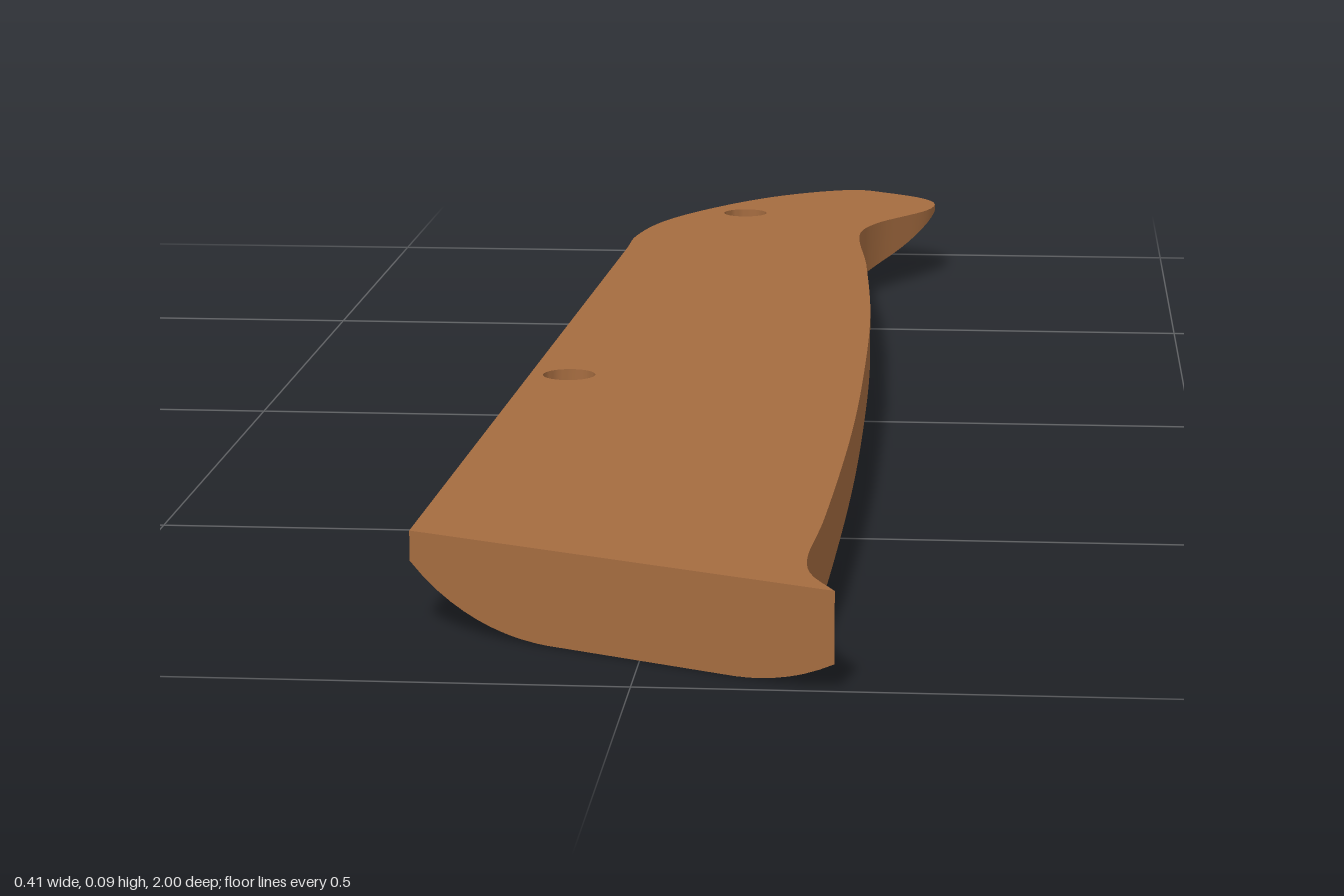
import * as THREE from 'three';
import { toCreasedNormals } from 'three/addons/utils/BufferGeometryUtils.js';

const TOP = 0.088, FLAT = 0.08, RADIUS = 0.175, SLOPE = -0.0135, MAX_DX = 0.02;

// Rounded underside: flat in the middle, arcs at both sides, thinning toward the back
function under(x, z) {
  const d = Math.max(0, Math.abs(x) - FLAT);
  return Math.min(TOP - 0.001, 0.0155 + SLOPE * z + RADIUS - Math.sqrt(RADIUS * RADIUS - d * d));
}
function underNormal(x) {
  const d = Math.max(0, Math.abs(x) - FLAT);
  const slope = Math.sign(x) * d / Math.sqrt(RADIUS * RADIUS - d * d);
  return new THREE.Vector3(slope, -1, SLOPE).normalize();
}

// Points of a straight edge, without its last point
function edge(a, b, n) {
  return Array.from({ length: n }, (_, i) => a.clone().lerp(b, i / n));
}

// Plan outline in x and z
function outline() {
  const curve = new THREE.CatmullRomCurve3([
    [-0.159, -0.55], [-0.156, -0.635], [-0.13, -0.745], [-0.066, -0.862], [0, -0.942],
    [0.068, -0.99], [0.105, -1], [0.135, -0.983], [0.185, -0.943], [0.204, -0.905], [0.198, -0.852],
    [0.137, -0.748], [0.119, -0.683], [0.135, -0.45], [0.151, -0.16], [0.157, 0.185],
    [0.156, 0.45], [0.147, 0.767], [0.14, 0.905], [0.146, 0.95], [0.168, 1],
  ].map(([x, z]) => new THREE.Vector3(x, 0, z)), false, 'centripetal');
  const pts = curve.getSpacedPoints(170).map(p => new THREE.Vector2(p.x, p.z));
  const tip = pts.pop(), corner = new THREE.Vector2(-0.209, 0.831);
  return [...pts, ...edge(tip, corner, 30), ...edge(corner, pts[0], 4)];
}

function circle(x, z, r, n = 32) {
  return Array.from({ length: n }, (_, i) => {
    const a = -i / n * Math.PI * 2;
    return new THREE.Vector2(x + r * Math.cos(a), z + r * Math.sin(a));
  });
}

function geometry(positions, normals) {
  const g = new THREE.BufferGeometry();
  g.setAttribute('position', new THREE.Float32BufferAttribute(positions, 3));
  if (normals) g.setAttribute('normal', new THREE.Float32BufferAttribute(normals, 3));
  return g;
}

// Vertical wall along a closed loop, from the underside to the top face
function wall(loop, outward) {
  const pos = [];
  const ccw = THREE.ShapeUtils.area(loop) > 0;
  const pts = ccw === outward ? loop : loop.slice().reverse();
  pts.forEach((a, i) => {
    const b = pts[(i + 1) % pts.length];
    const a0 = [a.x, under(a.x, a.y), a.y], a1 = [a.x, TOP, a.y];
    const b0 = [b.x, under(b.x, b.y), b.y], b1 = [b.x, TOP, b.y];
    pos.push(...a0, ...a1, ...b0, ...b0, ...a1, ...b1);
  });
  return toCreasedNormals(geometry(pos), Math.PI / 6);
}

// Split triangles across x until they follow the rounded underside
function refine(tri, out) {
  const dx = i => Math.abs(tri[i].x - tri[(i + 1) % 3].x);
  const k = [0, 1, 2].reduce((best, i) => (dx(i) > dx(best) ? i : best), 0);
  if (dx(k) <= MAX_DX) { out.push(...tri); return; }
  const a = tri[k], b = tri[(k + 1) % 3], c = tri[(k + 2) % 3];
  const m = a.clone().add(b).multiplyScalar(0.5);
  refine([a, m, c], out);
  refine([m, b, c], out);
}

export function createModel() {
  const group = new THREE.Group();
  group.name = 'handleScale';
  const wood = new THREE.MeshStandardMaterial({ color: 0xa56c40 });
  wood.name = 'brown wood';
  const add = (geo, name) => {
    const mesh = new THREE.Mesh(geo, wood);
    mesh.name = name;
    group.add(mesh);
  };

  let rim = outline();
  if (THREE.ShapeUtils.area(rim) < 0) rim = rim.reverse();
  const holes = [circle(-0.034, -0.81, 0.027), circle(-0.145, 0.182, 0.027)];
  const all = [...rim, ...holes.flat()];
  const topPos = [], topNormal = [], lower = [];
  for (const face of THREE.ShapeUtils.triangulateShape(rim, holes)) {
    let tri = face.map(i => all[i]);
    if (THREE.ShapeUtils.area(tri) < 0) tri = tri.reverse();
    // Counter-clockwise in x and z faces down, so reverse it for the top
    for (const p of [tri[0], tri[2], tri[1]]) {
      topPos.push(p.x, TOP, p.y);
      topNormal.push(0, 1, 0);
    }
    refine(tri, lower);
  }
  add(geometry(topPos, topNormal), 'flatFace');
  add(geometry(
    lower.flatMap(p => [p.x, under(p.x, p.y), p.y]),
    lower.flatMap(p => underNormal(p.x).toArray()),
  ), 'roundedUnderside');

  // Outer edge and the two pin holes
  add(wall(rim, true), 'sideWall');
  holes.forEach((h, i) => add(wall(h, false), i ? 'middlePinHole' : 'backPinHole'));
  return group;
}
